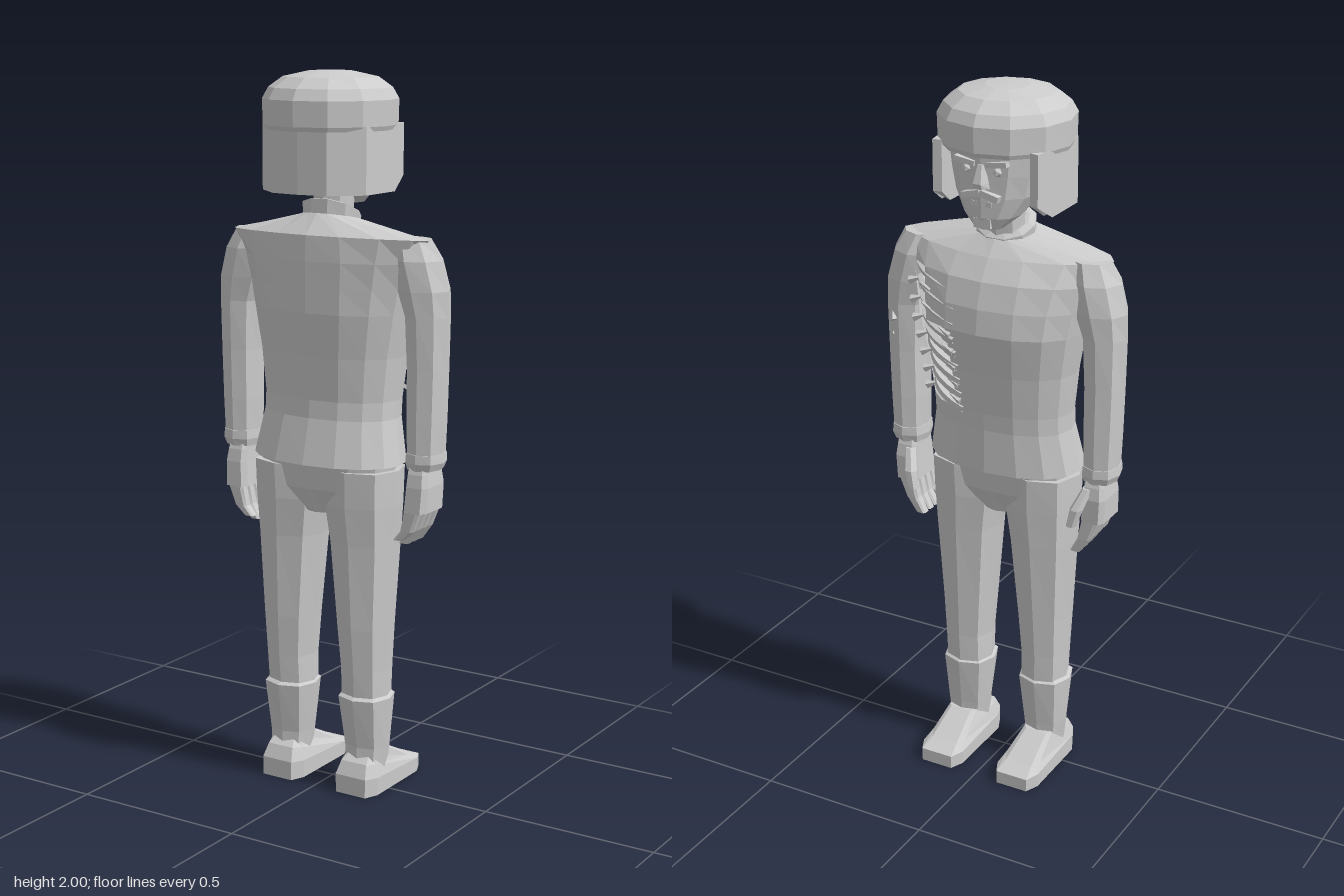
import * as THREE from 'three';

const grey = new THREE.MeshStandardMaterial({ color: 0xcccccc, flatShading: true, side: THREE.DoubleSide });
grey.name = 'plainGrey';

// point on a ring [y, centreX, halfX, centreZ, halfZ, tilt]; e squares (<1) or pinches (>1) it
function ringPoint([y, cx, hx, cz, hz, tilt = 0], angle, e) {
  const c = Math.cos(angle), s = Math.sin(angle);
  const z = Math.sign(s) * Math.abs(s) ** e * hz;
  return new THREE.Vector3(cx + Math.sign(c) * Math.abs(c) ** e * hx, y + tilt * z, cz + z);
}

// faceted skin over rings listed from bottom to top, with closed ends; a ring's 7th value overrides e
function loft(rings, n = 8, e = 1, phase = 0, skip = () => false) {
  const pts = rings.map((r) => Array.from({ length: n }, (_, k) =>
    ringPoint(r, phase + k / n * Math.PI * 2, r[6] ?? e)));
  const tris = [];
  for (let i = 0; i < rings.length - 1; i++) {
    for (let k = 0; k < n; k++) {
      if (skip(i, k)) continue;
      const m = (k + 1) % n, a = pts[i][k], b = pts[i][m], c = pts[i + 1][m], d = pts[i + 1][k];
      tris.push(a, d, c, a, c, b);
    }
  }
  for (const i of [0, pts.length - 1]) {
    const mid = pts[i].reduce((s, p) => s.add(p), new THREE.Vector3()).divideScalar(n);
    for (let k = 0; k < n; k++) {
      const a = pts[i][k], b = pts[i][(k + 1) % n];
      if (i) tris.push(mid, b, a); else tris.push(mid, a, b);
    }
  }
  const g = new THREE.BufferGeometry().setFromPoints(tris);
  g.computeVertexNormals();
  return g;
}

export function createModel() {
  const model = new THREE.Group();
  const add = (name, geometry, x = 0, y = 0, z = 0, rx = 0, rz = 0) => {
    const mesh = new THREE.Mesh(geometry, grey);
    mesh.name = name;
    mesh.position.set(x, y, z);
    mesh.rotation.set(rx, 0, rz);
    model.add(mesh);
  };
  const box = (name, w, h, d, ...at) => add(name, new THREE.BoxGeometry(w, h, d), ...at);

  // jacket, torn open on the left side of the chest
  const body = [
    [0.945, 0, 0.228, 0.015, 0.139, 0, 0.9],
    [1.07, 0, 0.205, 0, 0.122, 0, 0.9],
    [1.12, 0, 0.205, -0.004, 0.122, 0, 0.9],
    [1.24, 0, 0.218, -0.008, 0.134, 0, 0.9],
    [1.36, 0, 0.24, -0.013, 0.151, 0, 0.9],
    [1.43, 0, 0.255, -0.009, 0.147, 0, 0.95],
    [1.5, 0, 0.275, 0.002, 0.136, 0, 1],
    [1.563, 0, 0.312, 0.02, 0.115, 0.06, 1.2],
    [1.61, 0, 0.085, 0.01, 0.07, 0.2, 1],
  ];
  const hole = (i, k) => i >= 2 && i <= 5 && (k === 14 || (k === 13 && i < 4));
  add('jacket', loft(body, 16, 1, 0, hole));
  add('chestCavity', loft(body.slice(1, 7).map(([y, cx, hx, cz, hz, t, e]) =>
    [y, cx, hx * 0.8, cz, hz * 0.8, t, e]), 12));

  // ribs follow the chest across the tear
  const bodyAt = (y) => {
    const i = body.findIndex((r) => r[0] > y);
    const t = (y - body[i - 1][0]) / (body[i][0] - body[i - 1][0]);
    return body[i].map((v, j) => THREE.MathUtils.lerp(body[i - 1][j], v, t));
  };
  for (let j = 0; j < 9; j++) {
    const ring = bodyAt(1.14 + j * 0.042);
    ring[2] *= 0.94;
    ring[4] *= 0.94;
    const path = Array.from({ length: 7 }, (_, k) => {
      const p = ringPoint(ring, (287 + k * 9) * Math.PI / 180, ring[6]);
      p.y += (k - 3) * 0.007;
      return p;
    });
    add('rib', new THREE.TubeGeometry(new THREE.CatmullRomCurve3(path), 10, 0.012, 5));
  }
  // ragged cloth around the tear
  for (let j = 0; j < 7; j++) {
    const y = 1.15 + j * 0.05, r = bodyAt(y), front = y < 1.36 ? 294 : 315;
    for (const deg of [front, 335]) {
      const p = ringPoint(r, deg * Math.PI / 180, r[6]);
      add('tornCloth', new THREE.ConeGeometry(0.012, 0.045, 4), p.x, p.y, p.z, 0.3, deg === front ? -1.2 : 1.2);
    }
  }

  // collar and neck
  add('collar', loft([[1.585, 0, 0.082, 0.008, 0.066, 0.5], [1.63, 0, 0.086, 0.005, 0.066, 0.5],
    [1.636, 0, 0.068, 0.003, 0.052, 0.5]], 10));
  add('neck', loft([[1.58, 0, 0.06, 0, 0.05], [1.74, 0, 0.06, -0.01, 0.055]], 8));

  // head and face
  add('head', loft([
    [1.642, 0, 0.04, -0.085, 0.036], [1.675, 0, 0.078, -0.055, 0.076],
    [1.73, 0, 0.115, -0.02, 0.113], [1.79, 0, 0.13, -0.015, 0.118],
    [1.86, 0, 0.14, -0.01, 0.125],
  ], 12, 0.85));
  add('nose', loft([[1.757, 0, 0.026, -0.13, 0.022], [1.772, 0, 0.023, -0.131, 0.026],
    [1.82, 0, 0.011, -0.127, 0.012]], 6));
  box('mouth', 0.06, 0.013, 0.02, 0, 1.713, -0.12);
  box('chin', 0.05, 0.026, 0.025, 0, 1.66, -0.116);
  for (const s of [1, -1]) {
    box('moustache', 0.055, 0.017, 0.024, s * 0.027, 1.739, -0.13, 0, -s * 0.25);
    box('brow', 0.06, 0.014, 0.022, s * 0.047, 1.824, -0.127, 0, s * 0.15);
    add('eye', new THREE.IcosahedronGeometry(0.014, 0), s * 0.045, 1.802, -0.123);
  }

  // fur hat with a turned-up band and a wrap over ears and nape
  add('hat', loft([
    [1.845, 0, 0.178, 0.012, 0.176], [1.857, 0, 0.183, 0.012, 0.181], [1.925, 0, 0.185, 0.012, 0.182],
    [1.955, 0, 0.168, 0.012, 0.165], [1.983, 0, 0.13, 0.012, 0.125], [1.998, 0, 0.06, 0.012, 0.06],
    [2, 0, 0.01, 0.012, 0.01],
  ], 12));
  const wrap = [[0.155, -0.112], [0.165, -0.05], [0.165, 0.095], [0.085, 0.163], [0, 0.173]];
  const inner = [[0, 0.145], [0.075, 0.14], [0.14, 0.085], [0.14, -0.05], [0.13, -0.107]];
  const flip = (list) => list.slice().reverse().map(([x, z]) => [-x, z]);
  const outline = [...wrap, ...flip(wrap).slice(1), ...flip(inner), ...inner.slice(1)];
  const flap = new THREE.ExtrudeGeometry(new THREE.Shape(outline.map(([x, z]) => new THREE.Vector2(x, z))),
    { depth: 0.18, bevelEnabled: false });
  flap.rotateX(Math.PI / 2).translate(0, 1.86, 0);
  const fp = flap.attributes.position;
  for (let i = 0; i < fp.count; i++) {
    // lower front corners rise towards the cheeks
    if (fp.getY(i) < 1.7 && fp.getZ(i) < -0.08) fp.setXYZ(i, fp.getX(i), 1.72, fp.getZ(i));
  }
  flap.computeVertexNormals();
  add('earFlaps', flap);

  // trousers seat
  add('seat', loft([[0.8, 0, 0.05, 0.015, 0.075], [0.87, 0, 0.2, 0.015, 0.102],
    [0.97, 0, 0.212, 0.015, 0.115]], 12, 0.8));

  for (const s of [1, -1]) {
    // leg, boot shaft and shoe
    add('trouserLeg', loft([
      [0.25, s * 0.122, 0.068, 0.015, 0.066], [0.36, s * 0.124, 0.069, 0.017, 0.072],
      [0.48, s * 0.122, 0.077, 0.018, 0.08], [0.72, s * 0.118, 0.096, 0.015, 0.093],
      [0.83, s * 0.113, 0.108, 0.016, 0.102], [0.93, s * 0.115, 0.108, 0.016, 0.106],
    ], 8, 0.85));
    add('bootShaft', loft([
      [0.07, s * 0.126, 0.058, 0.018, 0.056], [0.13, s * 0.126, 0.064, 0.015, 0.057],
      [0.275, s * 0.124, 0.077, 0.018, 0.077], [0.282, s * 0.124, 0.068, 0.018, 0.066],
    ], 8, 0.85));
    add('shoe', loft([
      [0, s * 0.124, 0.067, -0.045, 0.152], [0.046, s * 0.124, 0.068, -0.045, 0.152, 0.05],
      [0.073, s * 0.124, 0.057, -0.032, 0.12, 0.15], [0.108, s * 0.126, 0.045, 0.008, 0.055],
    ], 8, 0.35, Math.PI / 8));

    // sleeve and cuff; the shoulder pinches to a ridge
    add('sleeve', loft([
      [0.97, s * 0.3, 0.048, 0, 0.056], [1.08, s * 0.301, 0.052, 0, 0.058], [1.22, s * 0.303, 0.054, 0, 0.059],
      [1.36, s * 0.301, 0.061, 0, 0.064, 0, 0.95], [1.43, s * 0.288, 0.075, 0, 0.07, 0, 1],
      [1.51, s * 0.268, 0.076, 0.003, 0.07, 0, 1.1], [1.565, s * 0.25, 0.064, 0.005, 0.05, 0, 1.2],
    ], 8, 0.85));
    add('cuff', loft([[0.945, s * 0.298, 0.046, 0, 0.054], [0.965, s * 0.3, 0.053, 0, 0.06],
      [0.99, s * 0.3, 0.051, 0, 0.059]], 8, 0.85));

    // hand with curled fingers
    add('palm', loft([[0.83, s * 0.293, 0.036, 0.003, 0.064], [0.9, s * 0.297, 0.035, 0, 0.062],
      [0.935, s * 0.296, 0.032, 0, 0.055], [0.97, s * 0.295, 0.03, 0, 0.04]], 8, 0.4, Math.PI / 8));
    for (let f = 0; f < 4; f++) {
      const z = 0.049 - f * 0.031, drop = f === 0 ? 0.015 : 0;
      add('finger', loft([[0.733 + drop, s * 0.247, 0.015, z, 0.014], [0.775, s * 0.273, 0.019, z, 0.0155],
        [0.84, s * 0.293, 0.026, z, 0.0155]], 8, 0.5, Math.PI / 8));
    }
    add('thumb', loft([[0.825, s * 0.25, 0.015, -0.085, 0.015], [0.875, s * 0.262, 0.019, -0.077, 0.02],
      [0.93, s * 0.28, 0.015, -0.045, 0.018]], 6));
  }

  // rips on the left sleeve
  for (const [y, z] of [[1.27, 0.035], [1.26, -0.022], [1.28, -0.036], [1.33, -0.05]]) {
    add('sleeveRip', new THREE.ConeGeometry(0.014, 0.045, 4), 0.352 - Math.abs(z) * 0.55, y, z, 0.5, -0.4);
  }
  return model;
}
